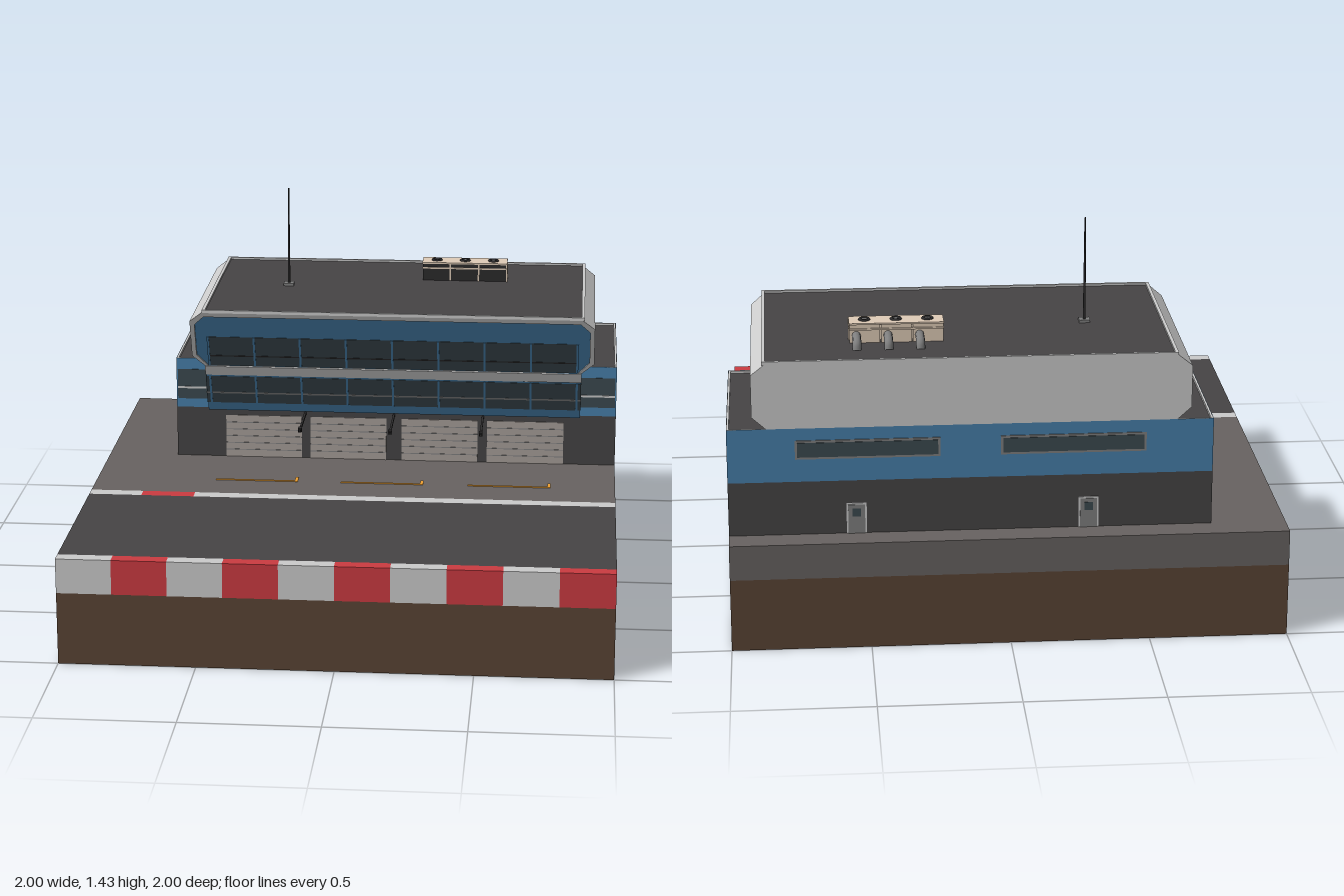
import * as THREE from 'three';

const C = { dirt: 0x5a4435, paving: 0x686361, dark: 0x464445, light: 0xcccccc, red: 0xcc3b41, blue: 0x4880ac,
  glass: 0x3c4a50, shutter: 0xa8a09b, orange: 0xf0a030, beige: 0xe0cdb8, black: 0x2c2b2c, steel: 0x808080 };

export function createModel() {
  const root = new THREE.Group();

  const add = (name, color, geo, flat = true) => {
    const mat = new THREE.MeshStandardMaterial({ color, flatShading: flat, side: THREE.DoubleSide });
    const mesh = new THREE.Mesh(geo, mat);
    mesh.name = name;
    root.add(mesh);
    return mesh;
  };
  // Box from its limits
  const box = (name, color, x0, x1, y0, y1, z0, z1) =>
    add(name, color, new THREE.BoxGeometry(x1 - x0, y1 - y0, z1 - z0)
      .translate((x0 + x1) / 2, (y0 + y1) / 2, (z0 + z1) / 2));
  // Four walls, open above and below
  const walls = (name, color, x0, x1, y0, y1, z0, z1) =>
    add(name, color, new THREE.CylinderGeometry(Math.SQRT1_2, Math.SQRT1_2, 1, 4, 1, true, Math.PI / 4)
      .scale(x1 - x0, y1 - y0, z1 - z0)
      .translate((x0 + x1) / 2, (y0 + y1) / 2, (z0 + z1) / 2));
  // Flat sheets: level (y), facing front (z) and facing the side (x)
  const floor = (name, color, x0, x1, z0, z1, y = 0.4) =>
    add(name, color, new THREE.PlaneGeometry(x1 - x0, z1 - z0).rotateX(-Math.PI / 2)
      .translate((x0 + x1) / 2, y, (z0 + z1) / 2));
  const sideSheets = (name, color, z0, z1) => [-1, 1].forEach((s) =>
    add(name, color, new THREE.PlaneGeometry(z1 - z0, 0.13).rotateY(s * Math.PI / 2)
      .translate(s, 0.335, (z0 + z1) / 2)));
  const frontSheet = (name, color, x0, x1, z) =>
    add(name, color, new THREE.PlaneGeometry(x1 - x0, 0.13).rotateY(z < 0 ? Math.PI : 0)
      .translate((x0 + x1) / 2, 0.335, z));
  const shapeOf = (pts) => new THREE.Shape(pts.map((p) => new THREE.Vector2(...p)));
  const rect = (x0, x1, y0, y1) => [[x0, y0], [x1, y0], [x1, y1], [x0, y1]];
  // Profile in x-y, run from z = back (or offset from the leaning facade) to an offset from the facade
  const facade = (y) => -0.21 + (y - 0.6) * 0.378;
  const leaning = (name, color, pts, front, back, backLeans = false) => {
    const geo = new THREE.ExtrudeGeometry(shapeOf(pts), { depth: 1, bevelEnabled: false });
    const p = geo.attributes.position;
    for (let i = 0; i < p.count; i++) {
      const f = facade(p.getY(i));
      p.setZ(i, p.getZ(i) > 0.5 ? f + front : backLeans ? f + back : back);
    }
    geo.computeVertexNormals();
    return add(name, color, geo);
  };
  // Level frame around a roof
  const roofRim = (name, x0, x1, z0, z1, y, h, t) => {
    const s = shapeOf(rect(x0, x1, -z1, -z0));
    s.holes.push(new THREE.Path(shapeOf(rect(x0 + t, x1 - t, -z1 + t, -z0 - t)).getPoints()));
    add(name, C.light, new THREE.ExtrudeGeometry(s, { depth: h, bevelEnabled: false })
      .rotateX(-Math.PI / 2).translate(0, y, 0));
  };

  // Ground block, hollow underneath and open below the building
  walls('earth', C.dirt, -1, 1, 0, 0.27, -1, 1);
  const paving = shapeOf(rect(-1, 1, -0.22, 1));
  paving.holes.push(new THREE.Path(shapeOf(rect(-0.73, 0.999, 0.24, 0.9)).getPoints()));
  add('paving', C.paving, new THREE.ShapeGeometry(paving).rotateX(-Math.PI / 2).translate(0, 0.4, 0));
  sideSheets('pavingSide', C.paving, -1, 0.22);
  frontSheet('pavingBack', C.paving, -1, 1, -1);
  floor('track', C.dark, -1, 1, 0.27, 0.95);
  sideSheets('trackSide', C.dark, 0.27, 0.95);

  // Kerbs
  sideSheets('innerKerbSide', C.light, 0.22, 0.27);
  for (let i = 0; i < 10; i++) {
    const x = -1 + i * 0.2, color = i % 2 ? C.red : C.light;
    floor('kerbTop', color, x, x + 0.2, 0.95, 1);
    frontSheet('kerbFront', color, x, x + 0.2, 1);
    floor('innerKerb', i === 1 ? C.red : C.light, x, x + 0.2, 0.22, 0.27);
    if (i % 9 === 0) add('kerbEnd', color, new THREE.PlaneGeometry(0.05, 0.13)
      .rotateY(i ? Math.PI / 2 : -Math.PI / 2).translate(i ? 1 : -1, 0.335, 0.975));
  }

  // Pit box markings
  for (const x of [-0.54, -0.055, 0.435]) {
    box('boxLine', C.orange, x, x + 0.318, 0.398, 0.402, 0.053, 0.065);
    box('boxLineEnd', C.orange, x + 0.306, x + 0.318, 0.398, 0.402, 0.015, 0.053);
  }

  // Ground floor with shutters and service arms
  walls('groundFloor', C.dark, -0.73, 1, 0.4, 0.6, -0.9, -0.24);
  for (const x of [-0.535, -0.2, 0.16, 0.497]) {
    box('shutter', C.shutter, x, x + 0.3, 0.4, 0.57, -0.244, -0.237);
    for (let i = 1; i < 6; i++)
      box('shutterGroove', C.steel, x, x + 0.3, 0.4 + i * 0.028, 0.403 + i * 0.028, -0.24, -0.2355);
  }
  for (const x of [-0.22, 0.13, 0.48]) {
    box('serviceArm', C.black, x - 0.004, x + 0.004, 0.581, 0.589, -0.24, 0);
    box('serviceArmHead', C.black, x - 0.007, x + 0.007, 0.577, 0.592, -0.035, -0.01);
  }

  // First floor and its low roof
  box('firstFloor', C.blue, -0.73, 1, 0.6, 0.79, -0.9, -0.24);
  floor('lowRoof', C.dark, -0.73, 1, -0.9, -0.24, 0.791);
  walls('lowParapet', C.blue, -0.73, 1, 0.79, 0.8, -0.9, -0.24);
  roofRim('lowRoofRim', -0.729, 0.999, -0.899, -0.241, 0.79, 0.01, 0.008);
  for (const [x0, x1] of [[-0.725, -0.6], [0.86, 0.995]]) {
    box('cornerWindow', C.glass, x0, x1, 0.635, 0.755, -0.25, -0.238);
    box('cornerWindowBar', C.light, x0, x1, 0.677, 0.685, -0.25, -0.236);
  }

  // Leaning bay with wrap-round window
  leaning('bay', C.blue, rect(-0.6, 0.86, 0.6, 0.8), 0, -0.3);
  leaning('bayWindow', C.glass, rect(-0.602, 0.862, 0.635, 0.755), 0.002, -0.24);
  leaning('bayWindowBar', C.steel, rect(-0.603, 0.863, 0.677, 0.684), 0.003, -0.24);
  leaning('bayBand', C.light, rect(-0.602, 0.862, 0.762, 0.8), 0.005, -0.24);

  // Top floor: chamfered shell, recessed front and windows
  const outer = [[-0.6, 0.8], [-0.65, 0.845], [-0.65, 1], [-0.6, 1.04],
    [0.86, 1.04], [0.91, 1], [0.91, 0.845], [0.86, 0.8]];
  const inner = [[0.847, 0.8], [0.892, 0.85], [0.892, 0.985], [0.855, 1.02],
    [-0.595, 1.02], [-0.632, 0.985], [-0.632, 0.85], [-0.587, 0.8]];
  leaning('topFloor', C.light, outer, -0.02, -0.9);
  leaning('topFrame', C.light, [...outer, ...inner], 0, -0.02, true);
  leaning('topFront', C.blue, inner, -0.01, -0.02, true);
  leaning('topWindow', C.glass, rect(-0.585, 0.845, 0.802, 0.93), -0.007, -0.015, true);
  leaning('topWindowBar', C.black, rect(-0.585, 0.845, 0.843, 0.848), -0.005, -0.015, true);
  for (let i = 0; i < 9; i++) {
    const x = -0.585 + i * 0.17875;
    leaning('topMullion', C.blue, rect(x - 0.004, x + 0.004, 0.802, 0.93), -0.004, -0.015, true);
    leaning('bayMullion', C.blue, rect(x - 0.004, x + 0.004, 0.635, 0.755), 0.004, -0.01, true);
  }
  roofRim('topRoofRim', -0.6, 0.87, -0.9, -0.042, 1.038, 0.012, 0.012);
  floor('topRoof', C.dark, -0.59, 0.86, -0.89, -0.052, 1.042);

  // Back windows and doors
  for (const [x0, x1] of [[0.245, 0.76], [-0.49, 0.03]]) {
    box('backWindowFrame', C.steel, x0, x1, 0.685, 0.755, -0.904, -0.89);
    box('backWindow', C.glass, x0 + 0.008, x1 - 0.008, 0.693, 0.747, -0.906, -0.89);
  }
  for (const x of [0.545, -0.285]) {
    box('backDoorFrame', C.light, x - 0.036, x + 0.036, 0.4, 0.515, -0.903, -0.895);
    box('backDoor', C.steel, x - 0.03, x + 0.03, 0.4, 0.509, -0.905, -0.895);
    box('backDoorPane', C.glass, x - 0.015, x + 0.015, 0.465, 0.495, -0.907, -0.895);
  }

  // Antenna
  box('antennaFoot', C.steel, -0.327, -0.287, 1.042, 1.052, -0.51, -0.47);
  add('antenna', C.black, new THREE.CylinderGeometry(0.003, 0.005, 0.39, 8).translate(-0.307, 1.24, -0.49), false);

  // Cooling units with fans and bent ducts
  for (let i = 0; i < 3; i++) {
    const x0 = 0.22 + i * 0.113, x = x0 + 0.055;
    box('coolerGrille', C.black, x0, x0 + 0.109, 1.042, 1.112, -0.65, -0.605);
    box('coolerBack', C.beige, x0, x0 + 0.109, 1.042, 1.112, -0.685, -0.65);
    box('coolerLid', C.beige, x0 - 0.002, x0 + 0.111, 1.11, 1.116, -0.69, -0.602);
    box('coolerTrim', C.beige, x0 - 0.002, x0 + 0.111, 1.09, 1.096, -0.69, -0.602);
    box('coolerPost', C.beige, x0 + 0.107, x0 + 0.113, 1.042, 1.112, -0.65, -0.603);
    add('fanRing', C.black, new THREE.TorusGeometry(0.016, 0.006, 6, 20).rotateX(Math.PI / 2)
      .translate(x, 1.117, -0.645), false);
    add('fanHub', C.steel, new THREE.CylinderGeometry(0.012, 0.012, 0.004, 12).translate(x, 1.117, -0.645), false);
    const bend = new THREE.CatmullRomCurve3([[-0.68, 1.07], [-0.73, 1.07], [-0.757, 1.062], [-0.765, 1.04]]
      .map(([z, y]) => new THREE.Vector3(x + 0.03, y, z)));
    add('duct', C.steel, new THREE.TubeGeometry(bend, 14, 0.016, 10), false);
  }
  return root;
}
